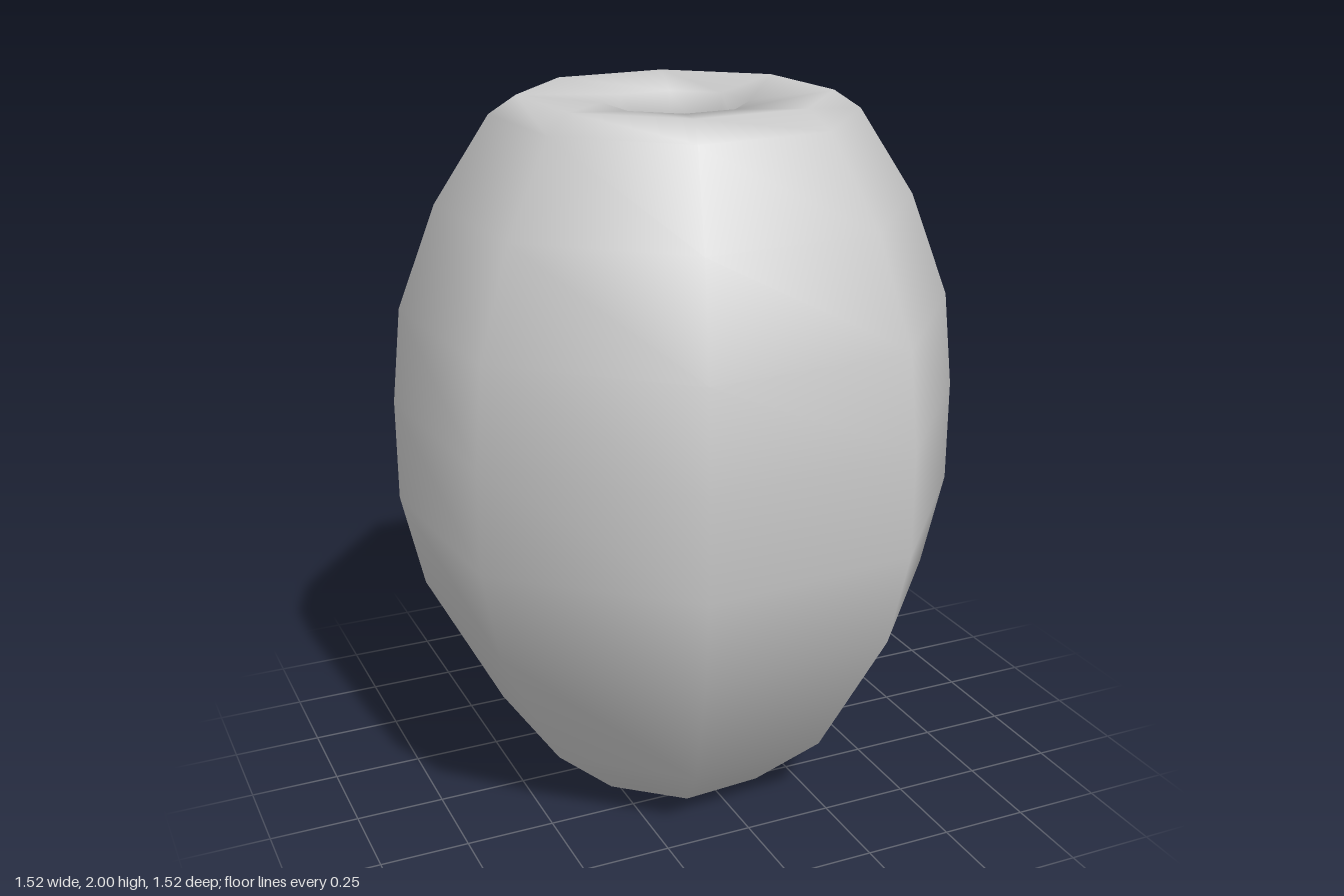
import * as THREE from 'three';

const SIDES = 8;
const TURN = THREE.MathUtils.degToRad(18.3); // angle of the first corner from +x toward +z

export function createModel() {
  const model = new THREE.Group();
  model.name = 'vase';
  const material = new THREE.MeshStandardMaterial({ color: 0xcccccc });

  // Outer wall, bottom to top
  const outer = [
    [0.305, 0], [0.525, 0.2], [0.737, 0.59], [0.798, 0.86], [0.798, 1.15],
    [0.77, 1.42], [0.66, 1.71], [0.505, 1.95], [0.43, 2],
  ];
  // Thick lip, mouth and hollow, top to bottom
  const inner = [
    [0.2, 1.975], [0.2, 1.8], [0.42, 1.6], [0.53, 1.3],
    [0.56, 0.95], [0.5, 0.65], [0.3, 0.32], [0.1, 0.2], [0, 0.19],
  ];
  const profile = [...outer, ...inner].map(([r, y]) => new THREE.Vector2(r, y));
  const body = new THREE.Mesh(
    new THREE.LatheGeometry(profile, SIDES, Math.PI / 4 - (TURN - Math.PI / 4) - Math.PI / 4 + Math.PI / 4),
    material
  );
  body.name = 'body';
  model.add(body);

  // Flat underside
  const base = new THREE.Mesh(new THREE.CircleGeometry(0.305, SIDES, TURN), material);
  base.rotation.x = Math.PI / 2;
  base.name = 'base';
  model.add(base);

  return model;
}
